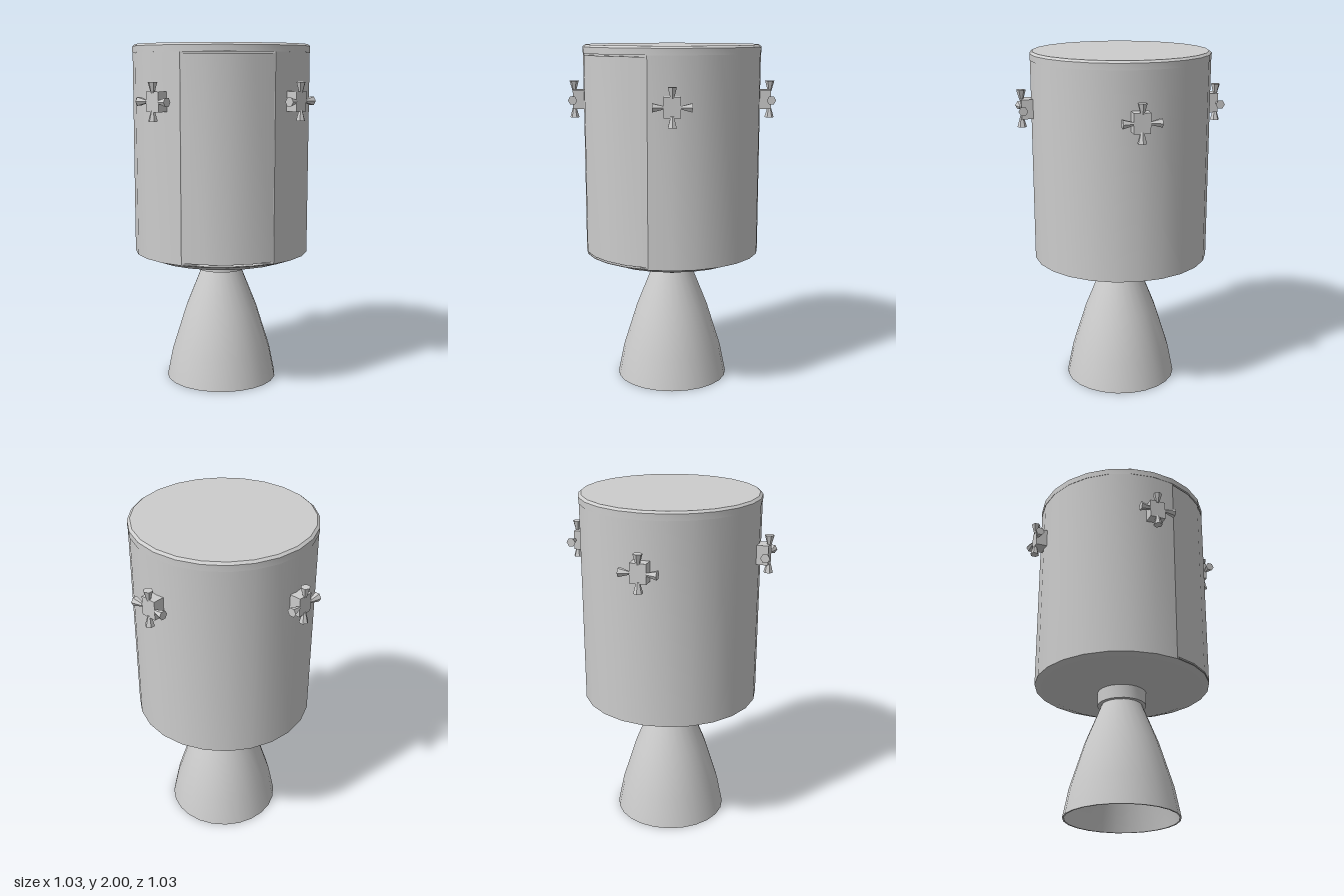
import * as THREE from 'three';
import { toCreasedNormals } from 'three/addons/utils/BufferGeometryUtils.js';

const SIDES = 24;
const R = 0.515;

export function createModel() {
  const root = new THREE.Group();
  root.name = 'serviceModule';
  const grey = new THREE.MeshStandardMaterial({ color: 0xcccccc });
  grey.name = 'hull grey';

  const add = (parent, name, geometry) => {
    const mesh = new THREE.Mesh(geometry, grey);
    mesh.name = name;
    parent.add(mesh);
    return mesh;
  };

  // Solid of revolution; profile runs from bottom to top on the outside
  const lathe = (points) => toCreasedNormals(
    new THREE.LatheGeometry(points.map(([r, y]) => new THREE.Vector2(r, y)), SIDES), 0.6);

  // Vertical prism whose plan is an arc closed by a straight chord; angle 0 faces the front
  const arcPrism = (from, to, steps, y0, y1) => {
    const plan = [];
    for (let i = 0; i <= steps; i++) {
      const a = THREE.MathUtils.degToRad(from + (to - from) * i / steps);
      plan.push(new THREE.Vector2(R * Math.sin(a), -R * Math.cos(a)));
    }
    const g = new THREE.ExtrudeGeometry(new THREE.Shape(plan), { depth: y1 - y0, bevelEnabled: false });
    g.rotateX(-Math.PI / 2).translate(0, y0, 0);
    return toCreasedNormals(g, 0.6);
  };

  // Hull with a flat cut at the front for the access panel
  add(root, 'hull', arcPrism(30, 330, 20, 0.79, 1.952));
  add(root, 'accessPanel', arcPrism(-29.4, 29.4, 4, 0.8, 1.943));
  add(root, 'topCap', lathe([[0, 1.952], [0.517, 1.952], [0.517, 1.988], [0.502, 2], [0, 2]]));
  add(root, 'bottomCap', lathe([[0, 0.75], [0.415, 0.75], [0.515, 0.787], [0.515, 0.791], [0, 0.791]]));

  // Main engine: collar and hollow bell
  add(root, 'engineCollar', lathe([[0, 0.67], [0.143, 0.67], [0.143, 0.752], [0, 0.752]]));
  add(root, 'engineBell', lathe([
    [0, 0.66], [0.108, 0.66], [0.205, 0.43], [0.288, 0.165], [0.322, 0],
    [0.331, 0], [0.297, 0.17], [0.214, 0.435], [0.118, 0.675],
  ]));

  // Four thruster clusters on the diagonals
  const nozzle = new THREE.CylinderGeometry(0.027, 0.01, 0.06, 6).toNonIndexed();
  nozzle.computeVertexNormals();
  nozzle.translate(0, 0.076, 0);
  for (let i = 0; i < 4; i++) {
    const cluster = new THREE.Group();
    cluster.name = 'thrusterCluster' + (i + 1);
    cluster.rotation.y = Math.PI / 4 + i * Math.PI / 2;
    cluster.position.y = 1.685;
    const block = add(cluster, 'thrusterBlock', new THREE.BoxGeometry(0.092, 0.11, 0.115));
    block.position.z = 0.517;
    for (let k = 0; k < 4; k++) {
      const n = add(cluster, 'thrusterNozzle', nozzle);
      n.position.z = 0.57;
      n.rotation.z = k * Math.PI / 2;
    }
    root.add(cluster);
  }
  return root;
}
